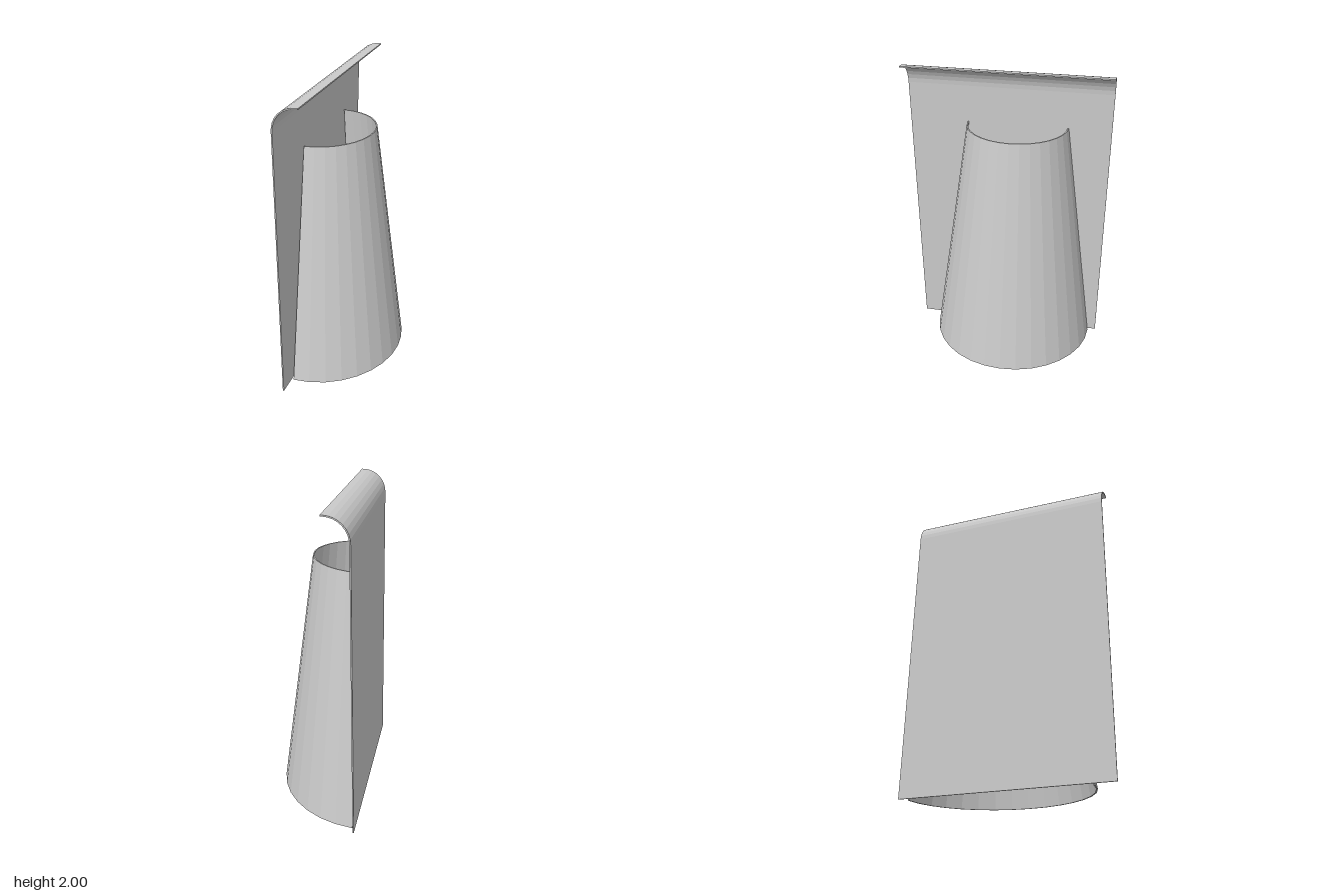
import * as THREE from 'three';

const lerp = THREE.MathUtils.lerp;
const material = new THREE.MeshStandardMaterial({ color: 0xcccccc, flatShading: true, side: THREE.DoubleSide });

// Thin sheet leaning slightly, its top rolled forward in a quarter bend
function makeBackPlate() {
  const thickness = 0.008, width = 1.3, radius = 0.15, bendSegments = 8;
  const outline = (inset) => {
    const points = [new THREE.Vector2(-0.292 + inset, 0.01)];
    for (let i = 0; i <= bendSegments; i++) {
      const a = Math.PI - (i / bendSegments) * (Math.PI / 2);
      const r = radius - inset;
      points.push(new THREE.Vector2(-0.1 + r * Math.cos(a), 1.85 + r * Math.sin(a)));
    }
    points.push(new THREE.Vector2(-0.087, 2 - inset));
    return points;
  };
  const shape = new THREE.Shape([...outline(0), ...outline(thickness).reverse()]);
  const geometry = new THREE.ExtrudeGeometry(shape, { depth: width, bevelEnabled: false });
  geometry.translate(0, 0, -width / 2);
  return new THREE.Mesh(geometry, material);
}

// Open half-cone shell: a half ring extruded upward, then tapered and tilted
function makeHalfCone() {
  const bottomRadius = 0.56, topRadius = 0.325, thickness = 0.008, segments = 16;
  const arc = (r) => Array.from({ length: segments + 1 }, (_, i) => {
    const a = -Math.PI / 2 + (i / segments) * Math.PI;
    return new THREE.Vector2(r * Math.cos(a), r * Math.sin(a));
  });
  const shape = new THREE.Shape([...arc(bottomRadius), ...arc(bottomRadius - thickness).reverse()]);
  const geometry = new THREE.ExtrudeGeometry(shape, { depth: 1, bevelEnabled: false });

  const p = geometry.attributes.position;
  for (let i = 0; i < p.count; i++) {
    const t = p.getZ(i);
    const angle = Math.atan2(p.getY(i), p.getX(i));
    const r = Math.hypot(p.getX(i), p.getY(i)) - t * (bottomRadius - topRadius);
    const forward = r * Math.cos(angle);
    p.setXYZ(i,
      lerp(-0.273, -0.243, t) + forward,
      lerp(0.003, 1.614, t) + forward * lerp(0.041, 0.033, t),
      lerp(-0.036, -0.055, t) - r * Math.sin(angle));
  }
  geometry.computeVertexNormals();
  return new THREE.Mesh(geometry, material);
}

export function createModel() {
  const model = new THREE.Group();
  model.name = 'wallPocket';
  const plate = makeBackPlate();
  plate.name = 'backPlate';
  const cone = makeHalfCone();
  cone.name = 'halfCone';
  model.add(plate, cone);
  return model;
}
